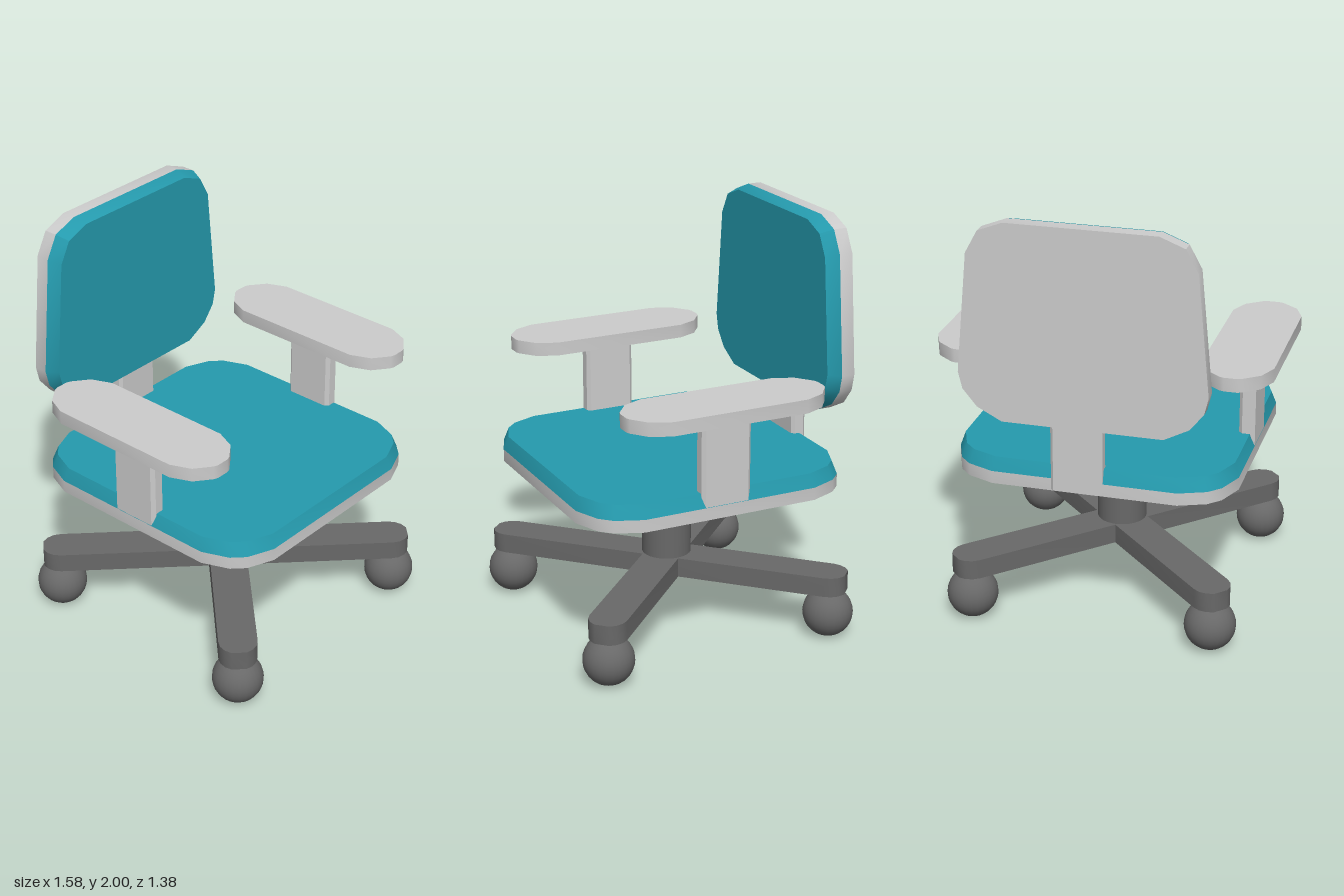
import * as THREE from 'three';
import { toCreasedNormals } from 'three/addons/utils/BufferGeometryUtils.js';

const MAIN_X = -0.01; // the seat and base sit a touch off the armrest centre
const grey = new THREE.MeshStandardMaterial({ color: 0xcccccc });
const dark = new THREE.MeshStandardMaterial({ color: 0x686868 });
const teal = new THREE.MeshStandardMaterial({ color: 0x259aad });

// Mirrors half an outline (right side, bottom to top) across x = 0
const mirrorX = (half) => [...half, ...half.slice().reverse().map(([x, y]) => [-x, y])];

// Mirrors one corner (side to end) into a full symmetric outline
const fromCorner = (corner) =>
  mirrorX([...corner.slice().reverse().map(([x, y]) => [x, -y]), ...corner]);

// Box outline with chamfered corners
const chamfered = (w, h, c) => fromCorner([[w / 2, h / 2 - c], [w / 2 - c, h / 2]]);

// Extrudes an outline along +z; the far face is scaled about cy to make a sloping rim
function slab(outline, depth, sx = 1, sy = 1, cy = 0) {
  const shape = new THREE.Shape(outline.map(([x, y]) => new THREE.Vector2(x, y)));
  const geo = new THREE.ExtrudeGeometry(shape, { depth, bevelEnabled: false });
  const p = geo.attributes.position;
  for (let i = 0; i < p.count; i++) {
    if (p.getZ(i) > depth / 2) {
      p.setX(i, p.getX(i) * sx);
      p.setY(i, cy + (p.getY(i) - cy) * sy);
    }
  }
  return toCreasedNormals(geo, 0.6);
}

// Same slab lying flat, extruded upwards
const flatSlab = (...args) => slab(...args).rotateX(-Math.PI / 2);

export function createModel() {
  const chair = new THREE.Group();
  chair.name = 'officeChair';
  const add = (name, geo, mat, x, y, z, ry = 0) => {
    const mesh = new THREE.Mesh(geo, mat);
    mesh.name = name;
    mesh.position.set(x, y, z);
    mesh.rotation.y = ry;
    chair.add(mesh);
  };

  // Crossed legs with rounded ends
  const legTip = [];
  for (let i = 0; i <= 4; i++) {
    const a = (i / 4) * Math.PI / 2;
    legTip.push([0.81 + 0.09 * Math.cos(a), 0.09 * Math.sin(a)]);
  }
  const legGeo = flatSlab(fromCorner(legTip.slice(1)), 0.095);
  for (const s of [-1, 1]) add('baseLegs', legGeo, dark, MAIN_X, 0.235, 0, s * Math.PI / 4);

  // Ball casters
  const ball = new THREE.SphereGeometry(0.12, 24, 16);
  for (const sx of [-1, 1])
    for (const sz of [-1, 1]) add('caster', ball, dark, MAIN_X + sx * 0.572, 0.125, sz * 0.572);

  // Column
  add('column', new THREE.CylinderGeometry(0.118, 0.118, 0.46, 32), dark, MAIN_X, 0.53, 0);

  // Seat board and cushion
  const seat = fromCorner([[0.66, 0.43], [0.61, 0.555], [0.555, 0.61], [0.43, 0.66]]);
  add('seatBoard', flatSlab(seat, 0.06), grey, MAIN_X, 0.75, 0);
  add('seatCushion', flatSlab(seat, 0.065, 0.967, 0.967), teal, MAIN_X, 0.81, 0);

  // Backrest board and cushion
  const back = mirrorX([[0.37, 1.07], [0.485, 1.13], [0.55, 1.21], [0.569, 1.29],
    [0.517, 1.85], [0.46, 1.955], [0.345, 2]]);
  add('backBoard', slab(back, 0.065), grey, MAIN_X, 0, -0.678);
  add('backCushion', slab(back, 0.063, 0.955, 0.957, 1.535), teal, MAIN_X, 0, -0.613);

  // Back support
  add('backSupport', flatSlab(chamfered(0.24, 0.073, 0.014), 0.35), grey, 0.02, 0.757, -0.638);

  // Armrests on posts
  const armOutline = fromCorner([[0.165, 0.33], [0.125, 0.425], [0.05, 0.483], [0.03, 0.49]]);
  const armGeo = flatSlab(armOutline, 0.065);
  const postGeo = flatSlab(chamfered(0.075, 0.245, 0.016), 0.47);
  for (const s of [-1, 1]) {
    add('armrest', armGeo, grey, s * 0.625, 1.235, 0.03);
    add('armPost', postGeo, grey, MAIN_X + s * 0.622, 0.775, 0.022);
  }
  return chair;
}
